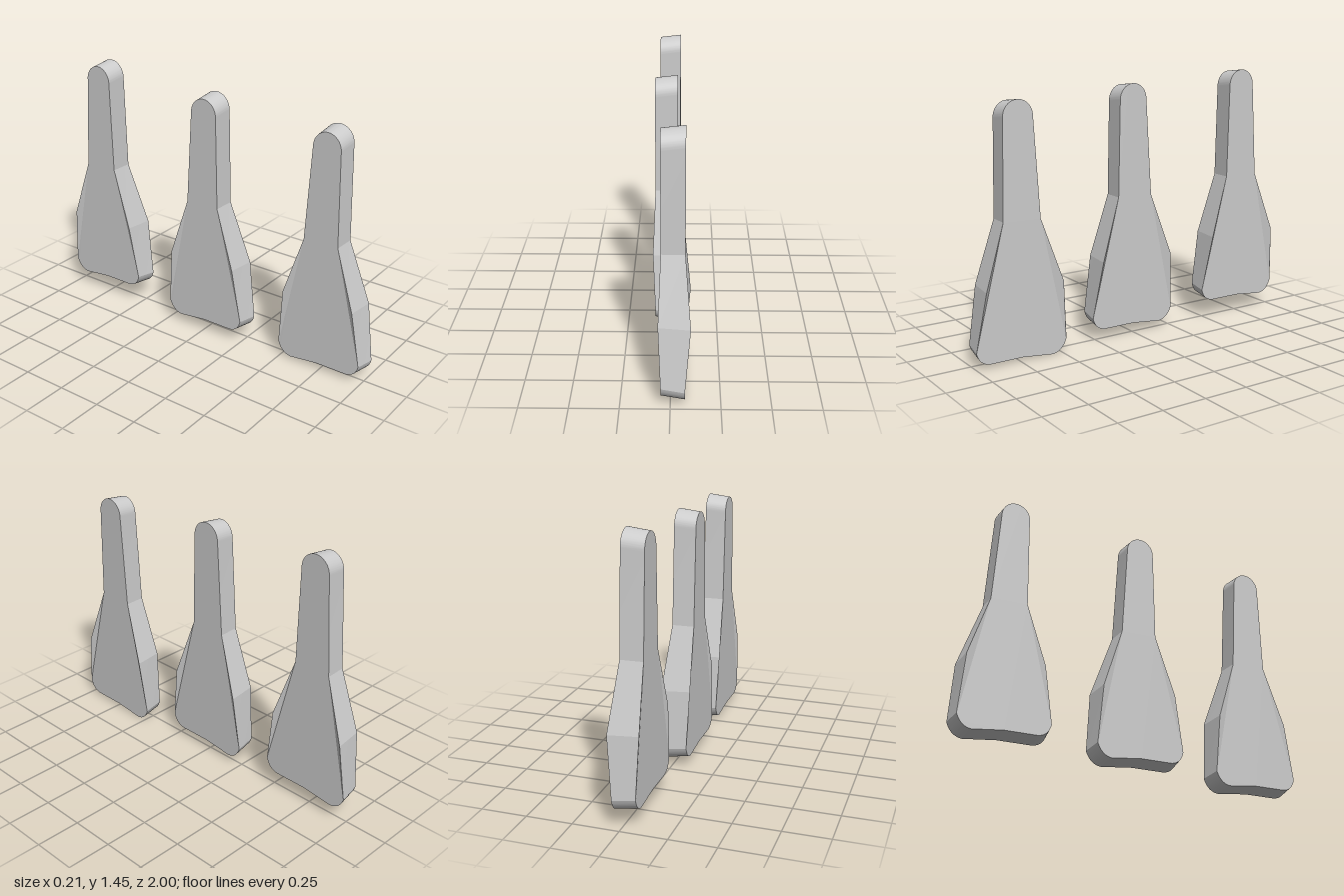
import * as THREE from 'three';
import { toCreasedNormals } from 'three/addons/utils/BufferGeometryUtils.js';

const ELBOWS = [0.415, 0.41]; // heights of the two widest side corners

// Paddle outline: broad foot with rounded corners, narrow round-topped neck
function paddleOutline() {
  const s = new THREE.Shape();
  s.moveTo(-0.095, 0.76);
  s.lineTo(-0.212, ELBOWS[0]);
  s.lineTo(-0.265, 0.096);
  s.quadraticCurveTo(-0.25, 0.03, -0.185, 0.025);
  s.lineTo(0, 0.025);
  s.lineTo(0.179, 0.005);
  s.quadraticCurveTo(0.24, 0.012, 0.263, 0.08);
  s.lineTo(0.236, ELBOWS[1]);
  s.lineTo(0.12, 0.755);
  s.lineTo(0.087, 1.29);
  s.absellipse(0.002, 1.29, 0.085, 0.087, 0, Math.PI, false);
  s.closePath();
  return s;
}

// Extrude, then taper one face inwards and thicken the slab at the elbows
function paddleGeometry() {
  const geo = new THREE.ExtrudeGeometry(paddleOutline(), {
    depth: 1, steps: 1, bevelEnabled: false, curveSegments: 24,
  });
  const p = geo.attributes.position;
  for (let i = 0; i < p.count; i++) {
    const x = p.getX(i), y = p.getY(i);
    const large = p.getZ(i) > 0.5;
    const elbow = ELBOWS.some((e) => Math.abs(e - y) < 0.001);
    if (large) p.setXYZ(i, x, y, elbow ? 0.1 : 0.072);
    else p.setXYZ(i, x * 0.94, 0.7 + (y - 0.7) * 0.98, elbow ? -0.061 : -0.048);
  }
  geo.rotateY(Math.PI / 2);
  return toCreasedNormals(geo, 0.145);
}

export function createModel() {
  const group = new THREE.Group();
  group.name = 'paddleRow';
  const geo = paddleGeometry();
  const material = new THREE.MeshStandardMaterial({ color: 0xcccccc });
  // Three paddles, rising slightly towards the back
  const places = [
    ['frontPaddle', 0, 0, 0.735],
    ['middlePaddle', -0.045, 0.04, 0.01],
    ['backPaddle', -0.034, 0.083, -0.737],
  ];
  for (const [name, x, y, z] of places) {
    const mesh = new THREE.Mesh(geo, material);
    mesh.name = name;
    mesh.position.set(x, y, z);
    group.add(mesh);
  }
  return group;
}
